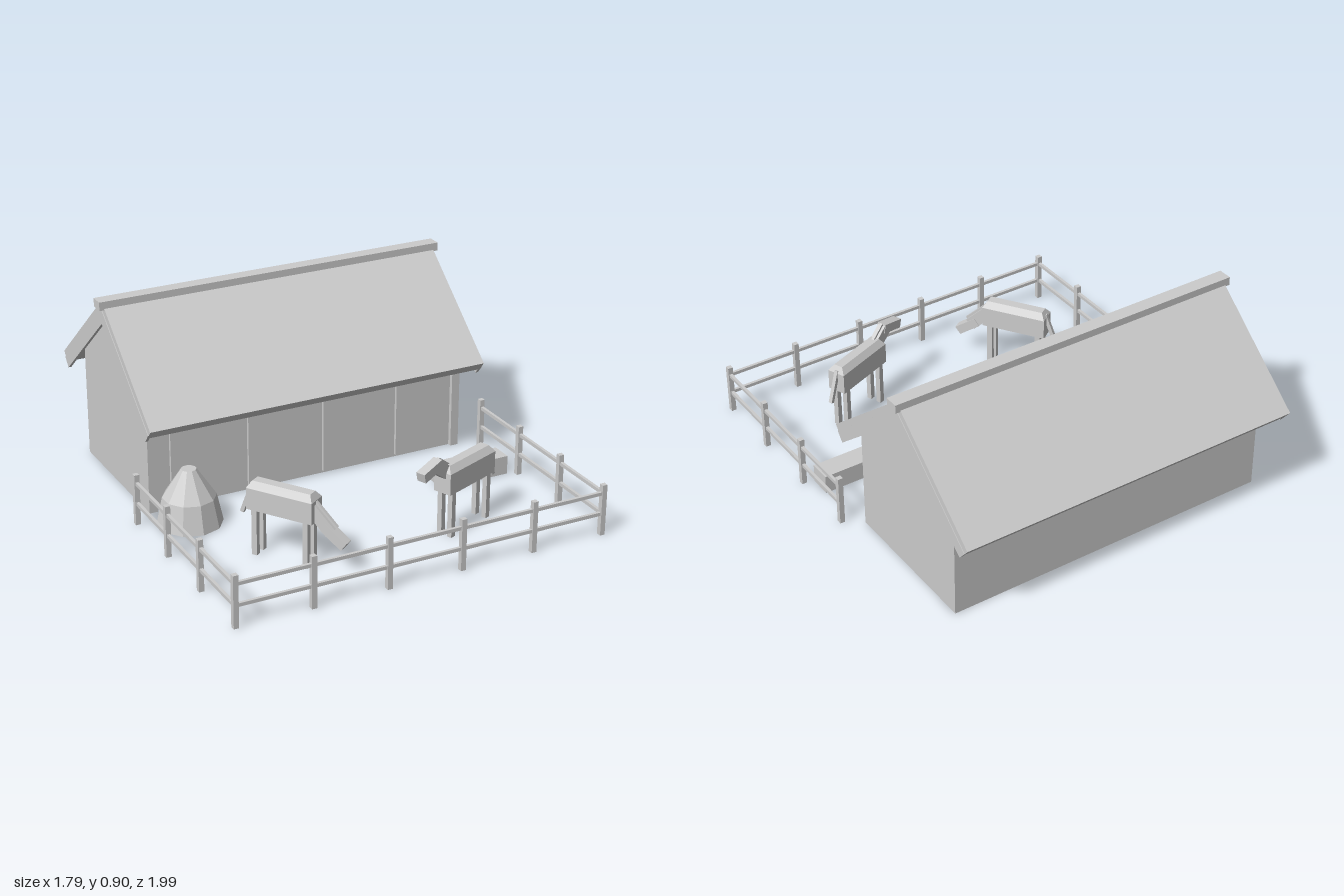
import * as THREE from 'three';

const grey = new THREE.MeshStandardMaterial({ color: 0xcccccc });
grey.name = 'plain grey';

function add(parent, name, geometry, x = 0, y = 0, z = 0) {
  const mesh = new THREE.Mesh(geometry, grey);
  mesh.name = name;
  mesh.position.set(x, y, z);
  parent.add(mesh);
  return mesh;
}

// Box given by its centre in x and z, and its bottom
function block(parent, name, w, h, d, x, y, z) {
  return add(parent, name, new THREE.BoxGeometry(w, h, d), x, y + h / 2, z);
}

// Bar between two points of the x-y plane
function bar(parent, name, [ax, ay], [bx, by], thick, width) {
  const length = Math.hypot(bx - ax, by - ay);
  const mesh = add(parent, name, new THREE.BoxGeometry(length, thick, width), (ax + bx) / 2, (ay + by) / 2, 0);
  mesh.rotation.z = Math.atan2(by - ay, bx - ax);
  return mesh;
}

// Outline in (z, y), extruded along x about the middle
function prism(points, length) {
  const shape = new THREE.Shape(points.map(([z, y]) => new THREE.Vector2(z, y)));
  const g = new THREE.ExtrudeGeometry(shape, { depth: length, bevelEnabled: false });
  return g.translate(0, 0, -length / 2).rotateY(-Math.PI / 2);
}

function flat(g) {
  const f = g.toNonIndexed();
  f.computeVertexNormals();
  return f;
}

// Roof outline between two depths below the top surface
const slope = Math.atan(0.83), eave = [0.52, 0.467], ridge = 0.899;
function chevron(d1, d2) {
  const at = d => [eave[0] - d * Math.sin(slope), eave[1] - d * Math.cos(slope)];
  const apex = d => [0, ridge - d / Math.cos(slope)];
  const [oz, oy] = at(d1), [iz, iy] = at(d2);
  return [[oz, oy], apex(d1), [-oz, oy], [-iz, iy], apex(d2), [iz, iy]];
}

function createBarn() {
  const barn = new THREE.Group();
  barn.name = 'barn';
  barn.position.z = -0.475;
  block(barn, 'walls', 1.6, 0.54, 0.71, 0, 0, 0);
  add(barn, 'gables', prism([[-0.345, 0.54], [0.345, 0.54], [0, 0.825]], 1.62));
  add(barn, 'roof', prism(chevron(0, 0.055), 1.684));
  block(barn, 'ridgeCap', 1.73, 0.04, 0.066, 0, 0.865, 0);
  for (const s of [-1, 1]) {
    add(barn, 'bargeBoard', prism(chevron(0.03, 0.085), 0.014), s * 0.838);
    block(barn, 'cornerPost', 0.04, 0.5, 0.04, s * 0.78, 0, 0.355);
  }
  // Stall doors
  for (let i = 0; i < 4; i++) {
    block(barn, 'stallDoor', 0.225, 0.45, 0.02, (i - 1.5) * 0.383, 0.012, 0.36);
  }
  return barn;
}

function createFence() {
  const fence = new THREE.Group();
  fence.name = 'fence';
  const X = 0.885, Z = 0.985, step = 0.34;
  const post = (x, z) => block(fence, 'fencePost', 0.024, 0.243, 0.024, x, 0, z);
  for (let i = 0; i < 6; i++) post(-X + i * X * 0.4, Z);
  for (const s of [-1, 1]) for (let i = 1; i < 4; i++) post(s * X, Z - i * step);
  for (const y of [0.095, 0.193]) {
    block(fence, 'frontRail', 2 * X, 0.016, 0.014, 0, y, Z);
    for (const s of [-1, 1]) block(fence, 'sideRail', 0.014, 0.016, 3 * step, s * X, y, Z - 1.5 * step);
  }
  return fence;
}

// Horse faces +x before it is turned
function createHorse(name, x, z, turn, neckEnd, headStart, headEnd) {
  const horse = new THREE.Group();
  horse.name = name;
  horse.position.set(x, 0, z);
  horse.rotation.y = turn;

  // Body with its upper edges drawn in
  const g = new THREE.BoxGeometry(0.32, 0.13, 0.09, 1, 2, 1);
  const p = g.attributes.position;
  for (let i = 0; i < p.count; i++) {
    if (Math.abs(p.getY(i)) < 0.001) p.setY(i, 0.035);
    else if (p.getY(i) > 0) {
      p.setX(i, p.getX(i) * 0.88);
      p.setZ(i, p.getZ(i) * 0.5);
    }
  }
  add(horse, 'body', flat(g), 0, 0.28, 0);

  for (const u of [-0.125, 0.125]) for (const s of [-1, 1]) {
    block(horse, 'leg', 0.026, 0.22, 0.024, u, 0, s * 0.028);
  }
  bar(horse, 'neck', [0.12, 0.295], neckEnd, 0.06, 0.04);
  bar(horse, 'head', headStart, headEnd, 0.044, 0.046);
  bar(horse, 'tail', [-0.15, 0.325], [-0.205, 0.175], 0.018, 0.018);

  // Mane along the upper side of the neck
  const dx = neckEnd[0] - 0.12, dy = neckEnd[1] - 0.295, l = Math.hypot(dx, dy);
  const ox = -dy / l * 0.033, oy = dx / l * 0.033;
  bar(horse, 'mane', [0.12 + ox, 0.295 + oy], [neckEnd[0] + ox, neckEnd[1] + oy], 0.014, 0.014);
  return horse;
}

export function createModel() {
  const model = new THREE.Group();
  model.name = 'stable';
  model.add(createBarn(), createFence());
  model.add(createHorse('grazingHorse', -0.447, 0.545, -0.98, [0.235, 0.185], [0.2, 0.205], [0.3, 0.135]));
  model.add(createHorse('standingHorse', 0.395, 0.63, -2.763, [0.215, 0.365], [0.19, 0.373], [0.31, 0.343]));

  // Ten-sided heap of hay
  const heap = [[0, 0], [0.15, 0], [0.122, 0.13], [0.035, 0.262], [0, 0.262]].map(([r, y]) => new THREE.Vector2(r, y));
  add(model, 'haystack', flat(new THREE.LatheGeometry(heap, 10)), -0.67, 0, 0.053);
  block(model, 'trough', 0.35, 0.09, 0.105, 0.665, 0, 0.23);
  return model;
}
